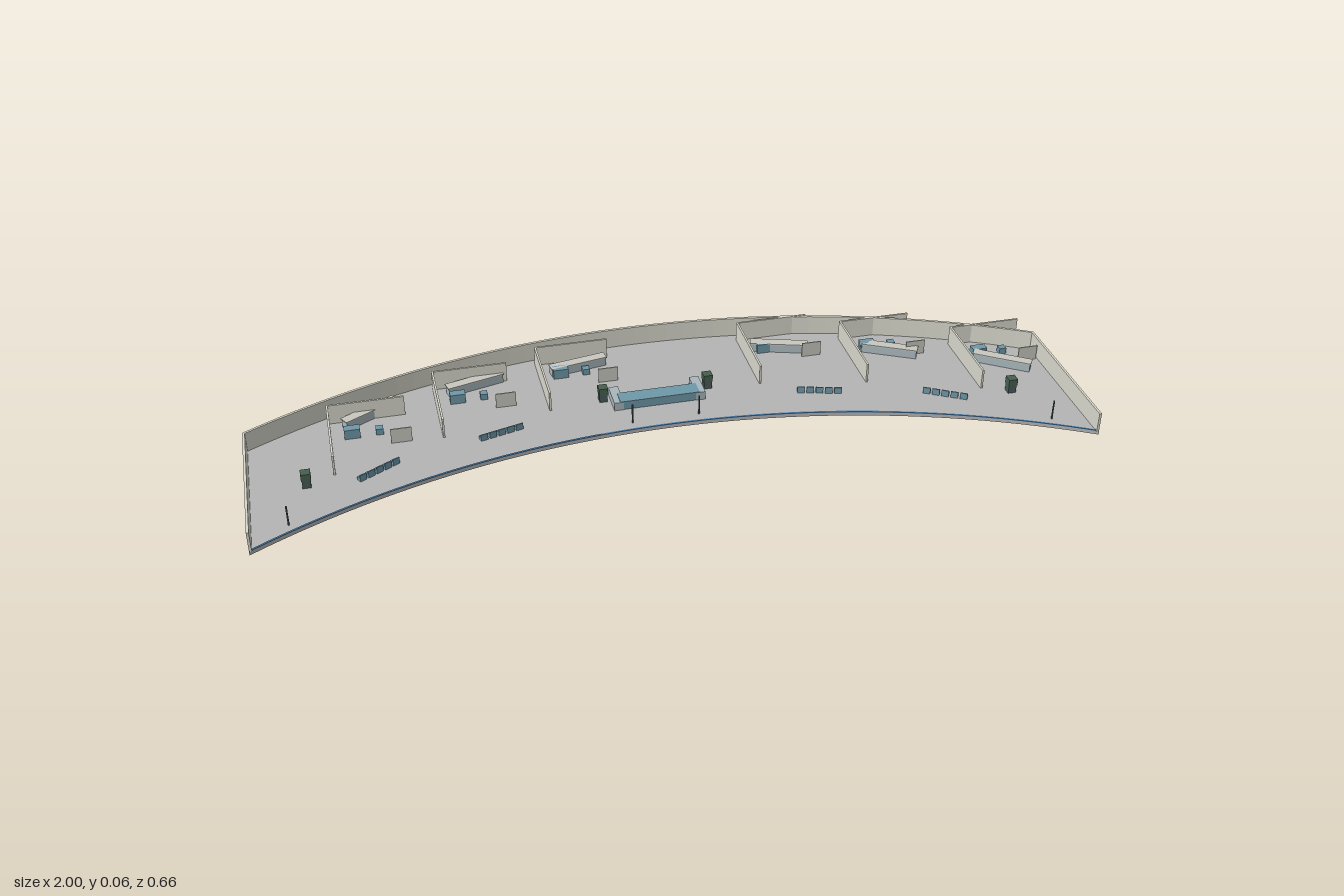
import * as THREE from 'three';

const FLOOR = 0.009, TOP = 0.061;
const mat = (color) => new THREE.MeshStandardMaterial({ color });
const M = {
  floor: mat(0xb4b4b4), wall: mat(0xd8d8cc), blue: mat(0x6f98a8), pale: mat(0xa9b8bd),
  dark: mat(0x4a5a5c), green: mat(0x47604f), trim: mat(0x4f84b0), panel: mat(0xc8c8c0),
};

// Arc depth at x: every curve bows towards -z with radius 2
const arcZ = (x, apex) => apex + 2.006 - Math.sqrt(2.006 ** 2 - x * x);

// Curved band between two arcs, standing from y0 to y1
function band(name, backApex, frontApex, y0, y1, material) {
  const back = [], front = [], n = 48;
  for (let i = 0; i <= n; i++) {
    const x = -1 + (2 * i) / n;
    front.push(new THREE.Vector2(x, -arcZ(x, frontApex)));
    back.unshift(new THREE.Vector2(x, -arcZ(x, backApex)));
  }
  const geo = new THREE.ExtrudeGeometry(new THREE.Shape([...front, ...back]), { depth: y1 - y0, bevelEnabled: false });
  geo.rotateX(-Math.PI / 2).translate(0, y0, 0);
  const mesh = new THREE.Mesh(geo, material);
  mesh.name = name;
  return mesh;
}

// Box with its base at y, turned about the vertical
function box(name, w, h, d, x, z, material, turn = 0, y = FLOOR - 0.001) {
  const mesh = new THREE.Mesh(new THREE.BoxGeometry(w, h, d), material);
  mesh.position.set(x, y + h / 2, z);
  mesh.rotation.y = turn;
  mesh.name = name;
  return mesh;
}

// One bay: side partition, back wall, slanted counter, cabinet, stool and screen
function bay({ x, z, counter: [cx, cz, turn] }, i) {
  const g = new THREE.Group();
  g.name = 'bay' + (i + 1);
  const wallH = TOP - FLOOR + 0.001;
  const cabX = x + 0.052, cabZ = z + 0.068;
  g.add(
    box('partition', 0.005, wallH, 0.22, x, z + 0.108, M.wall),
    box('bayBackWall', 0.185, wallH, 0.005, x + 0.0925, z, M.wall),
    box('counter', 0.145, 0.024, 0.022, cx, cz, M.pale, turn),
    box('counterTop', 0.149, 0.003, 0.026, cx, cz, M.panel, turn, 0.031),
    box('cabinet', 0.038, 0.026, 0.022, cabX, cabZ, M.blue),
    box('stool', 0.018, 0.017, 0.018, cabX + 0.065, cabZ, M.blue),
    box('screen', 0.05, 0.04, 0.003, x + 0.165, z + 0.118, M.panel),
  );
  return g;
}

export function createModel() {
  const model = new THREE.Group();
  model.name = 'curvedHall';

  // Floor, front trim and outer walls
  model.add(
    band('floor', -0.333, 0.06, 0, FLOOR, M.floor),
    band('frontTrim', 0.055, 0.06, FLOOR, FLOOR + 0.002, M.trim),
    band('backWall', -0.333, -0.326, FLOOR, TOP - 0.001, M.wall),
  );
  for (const s of [-1, 1]) model.add(box('endWall', 0.006, TOP - FLOOR, 0.392, s * 0.997, 0.13, M.wall));

  // Bays along the back
  [
    { x: -0.8, z: -0.136, counter: [-0.7, -0.14, 0.52] },
    { x: -0.535, z: -0.23, counter: [-0.433, -0.215, 0.26] },
    { x: -0.267, z: -0.285, counter: [-0.166, -0.24, 0.18] },
    { x: 0.267, z: -0.285, counter: [0.358, -0.21, -0.3] },
    { x: 0.53, z: -0.23, counter: [0.63, -0.13, -0.48] },
    { x: 0.8, z: -0.136, counter: [0.893, -0.01, -0.6] },
  ].forEach((b, i) => model.add(bay(b, i)));

  // Reception desk
  const desk = new THREE.Group();
  desk.name = 'receptionDesk';
  desk.add(
    box('deskFront', 0.215, 0.022, 0.038, 0, -0.05, M.blue),
    box('deskTop', 0.2, 0.003, 0.042, 0, -0.05, M.blue, 0, 0.03),
  );
  for (const s of [-1, 1]) desk.add(box('deskReturn', 0.024, 0.023, 0.074, s * 0.103, -0.067, M.pale));
  model.add(desk);

  // Mirrored floor furniture
  for (const s of [-1, 1]) {
    for (const [x, z] of [[0.133, -0.084], [0.865, 0.11]]) {
      model.add(
        box('planter', 0.02, 0.022, 0.02, s * x, z, M.dark),
        box('planting', 0.023, 0.018, 0.023, s * x, z, M.green, 0, 0.03),
      );
    }
    // Seat rows follow the slope of the arc
    for (const [x, z, turn] of [[0.4, 0.003, 0.27], [0.7, 0.09, 0.52]]) {
      const row = new THREE.Group();
      row.name = 'seatRow';
      for (let i = -2; i <= 2; i++) {
        row.add(
          box('seat', 0.018, 0.01, 0.012, i * 0.023, 0, M.blue),
          box('seatBack', 0.018, 0.018, 0.003, i * 0.023, 0.006, M.blue),
        );
      }
      row.position.set(s * x, 0, z);
      row.rotation.y = -s * turn;
      model.add(row);
    }
    // Slim posts near the front edge
    for (const [x, z] of [[0.083, 0.03], [0.912, 0.25]]) {
      const post = new THREE.Mesh(new THREE.CylinderGeometry(0.002, 0.002, TOP - FLOOR, 8), M.dark);
      post.position.set(s * x, (TOP + FLOOR) / 2, z);
      post.name = 'post';
      model.add(post);
    }
  }
  return model;
}
